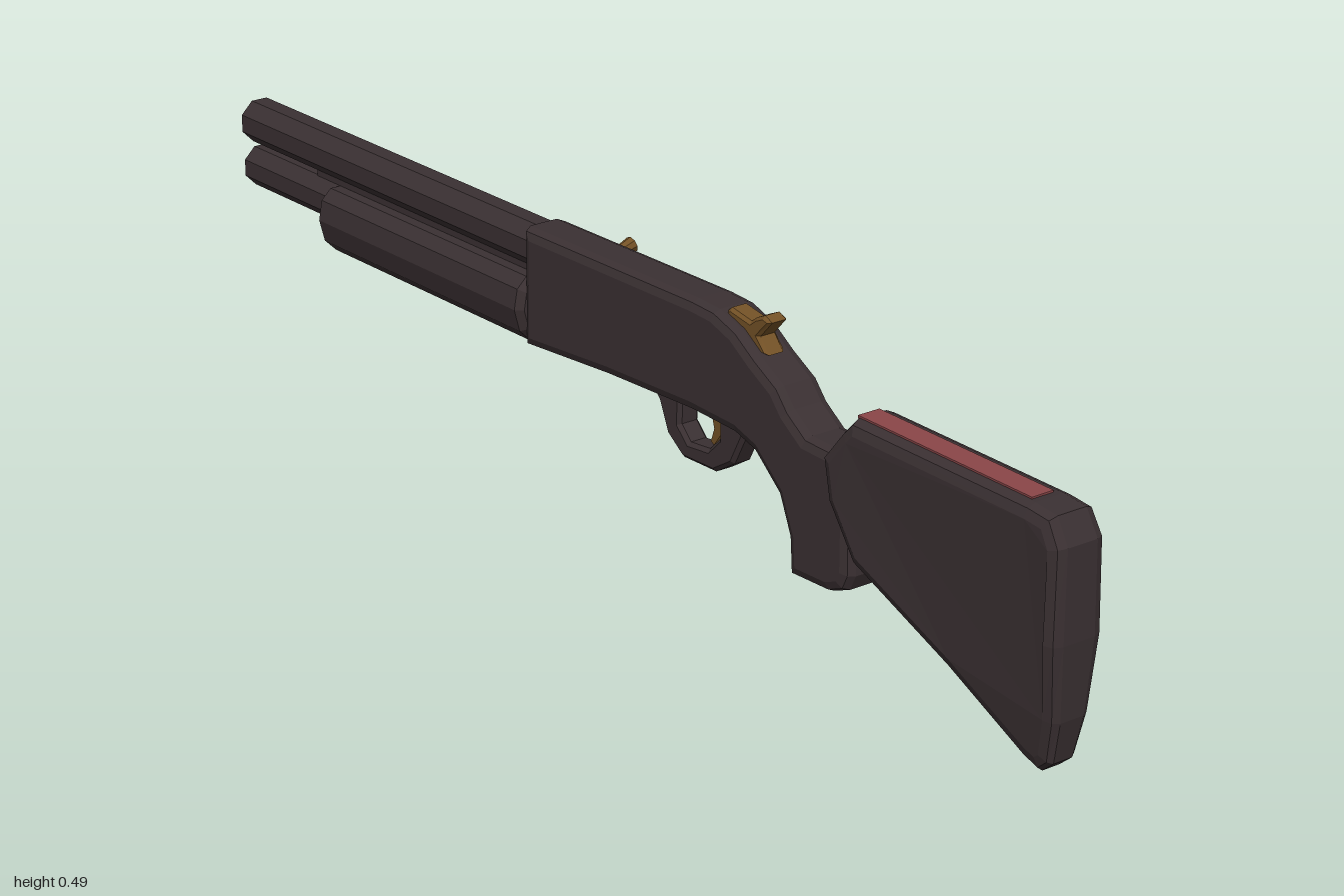
import * as THREE from 'three';

const mat = (name, color) => Object.assign(new THREE.MeshStandardMaterial({ color, flatShading: true }), { name });
const clamp = THREE.MathUtils.clamp;

export function createModel() {
  const group = new THREE.Group();
  const dark = mat('dark body', 0x3a3032);
  const shadow = mat('dark recess', 0x2b2426);
  const gold = mat('aged brass', 0x735126);
  const red = mat('red pad', 0x8a4648);

  function add(name, geo, material) {
    const mesh = new THREE.Mesh(geo, material);
    mesh.name = name;
    group.add(mesh);
    return mesh;
  }

  // Side outline given as [z, y], extruded across x with a chamfer
  function side(pts, cx, half, bevel, hole, segments = 1) {
    const flip = (list) => list.map(([z, y]) => new THREE.Vector2(-z, y));
    const shape = new THREE.Shape(flip(pts));
    if (hole) shape.holes.push(new THREE.Path(flip(hole)));
    const depth = 2 * (half - bevel);
    const geo = new THREE.ExtrudeGeometry(shape, {
      depth, bevelEnabled: bevel > 0, bevelThickness: bevel, bevelSize: bevel,
      bevelOffset: -bevel, bevelSegments: segments,
    });
    geo.translate(0, 0, -depth / 2);
    geo.rotateY(Math.PI / 2);
    geo.translate(cx, 0, 0);
    return geo;
  }

  // Move x by a rule of the vertex position
  function warpX(geo, rule) {
    const p = geo.attributes.position;
    for (let i = 0; i < p.count; i++) p.setX(i, rule(p.getX(i), p.getY(i), p.getZ(i)));
    geo.computeVertexNormals();
    return geo;
  }

  // Shoulder stock, narrowing toward its toe
  const stock = side([
    [0.975, 0.395], [0.93, 0.40], [0.565, 0.406], [0.545, 0.385], [0.505, 0.335], [0.52, 0.27],
    [0.575, 0.19], [0.77, 0.098], [0.92, 0.015], [0.952, 0.003], [0.975, 0.022], [0.99, 0.09],
    [0.998, 0.21], [0.998, 0.355],
  ], -0.034, 0.049, 0.02, null, 2);
  add('stock', warpX(stock, (x, y) => {
    const low = clamp(y / 0.2, 0, 1), high = clamp((y - 0.3) / 0.1, 0, 1);
    return -0.034 + (x + 0.034) * (0.55 + 0.45 * low - 0.1 * high);
  }), dark);
  add('cheekPad', side([[0.92, 0.398], [0.56, 0.404], [0.56, 0.409], [0.92, 0.403]], -0.037, 0.02, 0), red);
  const stud = add('slingStud', new THREE.BoxGeometry(0.016, 0.035, 0.022), dark);
  stud.position.set(-0.034, 0.117, 0.735);

  // Receiver with wrist and grip; its lower right flares toward the muzzle
  const flare = (x, y, z) => x <= -0.03 ? x
    : x + 0.02 * clamp((0.2 - z) / 0.4, 0, 1) * clamp((0.47 - y) / 0.12, 0, 1);
  add('receiver', warpX(side([
    [0.56, 0.30], [0.515, 0.343], [0.46, 0.345], [0.42, 0.373], [0.395, 0.402], [0.345, 0.43],
    [0.30, 0.46], [0.25, 0.477], [0.2, 0.48], [-0.21, 0.478], [-0.21, 0.285], [0.0, 0.298],
    [0.2, 0.304], [0.30, 0.30], [0.345, 0.286], [0.40, 0.238], [0.424, 0.18], [0.428, 0.12],
    [0.515, 0.122], [0.548, 0.135], [0.56, 0.16],
  ], -0.03, 0.042, 0.017, null, 2), flare), dark);
  add('ejectionPort', warpX(side([[0.14, 0.42], [0.13, 0.437], [-0.05, 0.445], [-0.14, 0.445],
    [-0.14, 0.415], [-0.02, 0.413]], 0.0115, 0.0045, 0), flare), shadow);

  // Barrel, magazine tube and the narrow top rib
  function tube(name, r, y, z0, z1, sides) {
    const geo = new THREE.CylinderGeometry(r, r, z0 - z1, sides);
    geo.rotateY(Math.PI / sides);
    geo.rotateX(Math.PI / 2);
    add(name, geo, dark).position.set(-0.026, y, (z0 + z1) / 2);
  }
  tube('barrel', 0.038, 0.44, -0.15, -1, 8);
  tube('magazineTube', 0.036, 0.363, -0.15, -0.998, 8);
  add('barrelWeb', new THREE.BoxGeometry(0.03, 0.05, 0.62), dark).position.set(-0.026, 0.402, -0.5);

  // Sliding fore-end: a faceted cross-section extruded along the barrel
  const half = [[0, 0.283], [0.026, 0.287], [0.048, 0.308], [0.058, 0.345], [0.052, 0.378], [0.034, 0.395]];
  const outline = [...half, ...half.slice(1).reverse().map(([x, y]) => [-x, y])];
  const fore = new THREE.ExtrudeGeometry(
    new THREE.Shape(outline.map(([x, y]) => new THREE.Vector2(x - 0.026, y))),
    { depth: 0.53, bevelThickness: 0.012, bevelSize: 0.01, bevelOffset: -0.01, bevelSegments: 1 });
  fore.translate(0, 0, -0.745);
  add('foreEnd', fore, dark);

  // Trigger guard and trigger
  add('triggerGuard', side([
    [0.32, 0.315], [0.30, 0.29], [0.273, 0.238], [0.23, 0.212], [0.155, 0.211], [0.118, 0.238],
    [0.098, 0.285], [0.07, 0.32],
  ], -0.03, 0.02, 0.006, [
    [0.24, 0.312], [0.24, 0.268], [0.215, 0.244], [0.17, 0.24], [0.148, 0.262], [0.15, 0.305], [0.17, 0.312],
  ]), dark);
  add('trigger', side([[0.24, 0.315], [0.236, 0.27], [0.218, 0.246], [0.208, 0.252], [0.216, 0.275],
    [0.205, 0.315]], -0.03, 0.009, 0.002), gold);

  // Hammer at the back of the receiver
  add('hammer', side([[0.356, 0.484], [0.34, 0.491], [0.322, 0.483], [0.31, 0.474], [0.265, 0.482],
    [0.245, 0.465], [0.31, 0.43], [0.35, 0.432], [0.33, 0.456]], -0.032, 0.018, 0.005), gold);

  // Bolt handle with a flared knob
  const arm = new THREE.CylinderGeometry(0.01, 0.01, 0.075, 8);
  arm.rotateZ(Math.PI / 2);
  add('boltHandle', arm, gold).position.set(0.03, 0.43, -0.132);
  const knob = new THREE.CylinderGeometry(0.013, 0.01, 0.026, 8);
  knob.rotateZ(-Math.PI / 2 + 0.3);
  add('boltKnob', knob, gold).position.set(0.069, 0.436, -0.132);

  return group;
}
